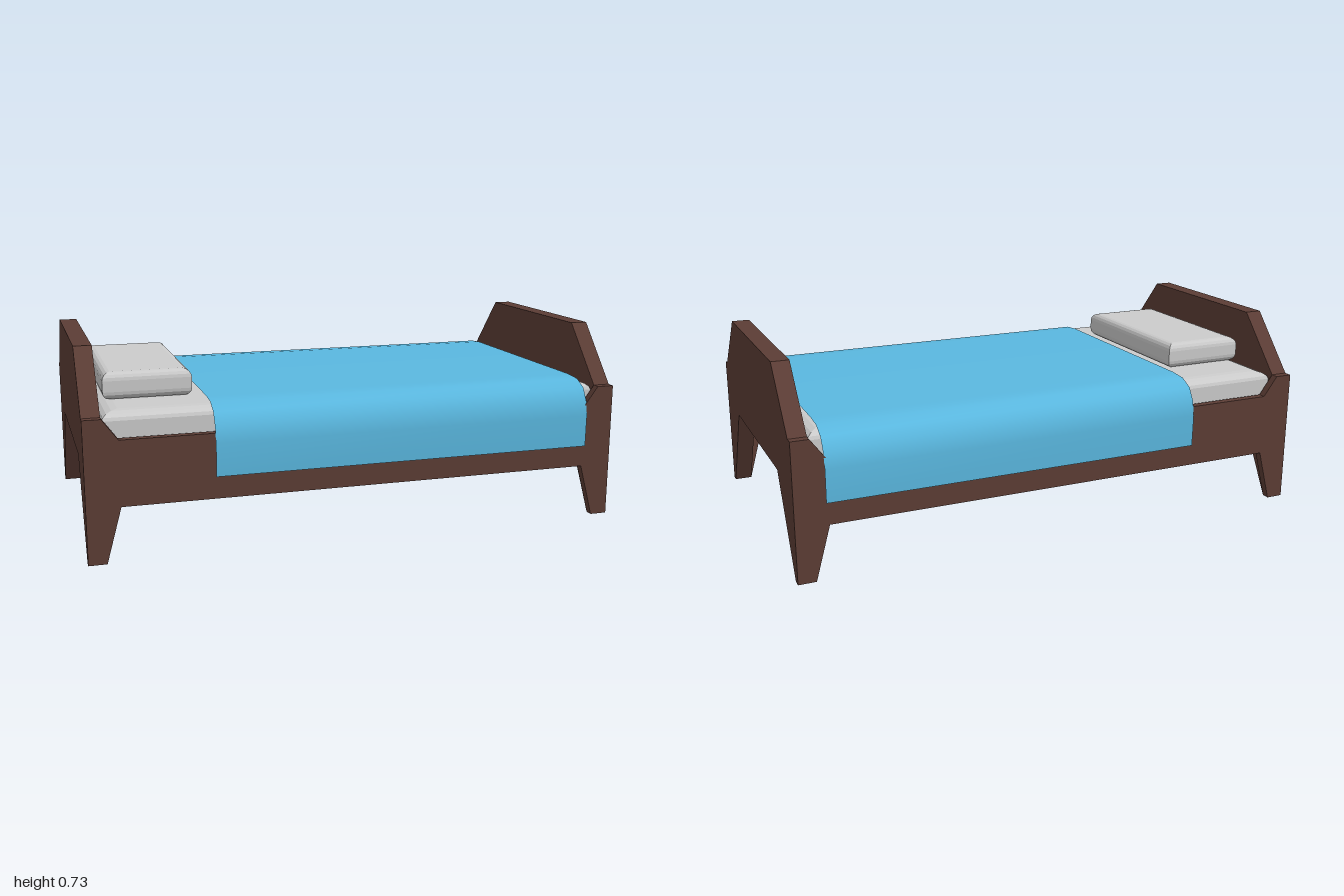
import * as THREE from 'three';

export function createModel() {
  const group = new THREE.Group();
  const wood = new THREE.MeshStandardMaterial({ color: 0x5c3d35 });
  const linen = new THREE.MeshStandardMaterial({ color: 0xcccccc });
  const cloth = new THREE.MeshStandardMaterial({ color: 0x5ab8e0, side: THREE.DoubleSide });

  const add = (name, geometry, material, x = 0, y = 0, z = 0) => {
    const mesh = new THREE.Mesh(geometry, material);
    mesh.name = name;
    mesh.position.set(x, y, z);
    group.add(mesh);
    return mesh;
  };

  const toShape = (points) => new THREE.Shape(points.map(([u, v]) => new THREE.Vector2(u, v)));

  // Panel cut from a half outline (bottom to top, right half) mirrored about its centre
  const panel = (half, depth) => {
    const outline = [...half, ...half.map(([u, v]) => [-u, v]).reverse()];
    return new THREE.ExtrudeGeometry(toShape(outline), { depth, bevelEnabled: false })
      .translate(0, 0, -depth / 2);
  };

  // Box with rounded top and bottom rims and square corners in plan, standing on y = 0
  const cushion = (width, height, depth, inset, rim) => {
    const u = width / 2 - inset, v = depth / 2 - inset;
    return new THREE.ExtrudeGeometry(toShape([[-u, -v], [u, -v], [u, v], [-u, v]]), {
      depth: height - 2 * rim, bevelSize: inset, bevelThickness: rim, bevelSegments: 4,
    }).translate(0, 0, rim).rotateX(-Math.PI / 2);
  };

  // Headboard and footboard with arched leg cut-out
  const endPanel = panel([[0.34, 0.34], [0.53, 0], [0.53, 0.51], [0.34, 0.725]], 0.065).rotateY(Math.PI / 2);
  add('headboard', endPanel, wood, -0.9675);
  add('footboard', endPanel, wood, 0.9675);

  // Side rails including the outer half of each corner leg
  const rail = panel([[0.88, 0.2], [0.935, 0], [1, 0], [1, 0.51], [0.935, 0.51], [0.88, 0.435]], 0.03);
  add('leftRail', rail, wood, 0, 0, 0.545);
  add('rightRail', rail, wood, 0, 0, -0.545);

  // Lengthwise slats under the mattress
  for (const z of [-0.452, -0.153, 0.153, 0.452]) {
    add('slat', new THREE.BoxGeometry(1.88, 0.03, 0.153), wood, 0, 0.355, z);
  }

  add('mattress', cushion(1.86, 0.151, 1.03, 0.06, 0.03), linen, 0, 0.37, 0);
  add('pillow', cushion(0.32, 0.1, 0.65, 0.03, 0.03), linen, -0.745, 0.521, 0);

  // Blanket: open draped sheet, swept along x from a mirrored cross-section (z, y)
  const drape = [[0.565, 0.28], [0.567, 0.4], [0.557, 0.455], [0.53, 0.503], [0.48, 0.529], [0.41, 0.535]];
  const section = [...drape, [0, 0.535], ...drape.map(([z, y]) => [-z, y]).reverse()];
  const blanket = new THREE.PlaneGeometry(1, 1, 1, section.length - 1);
  const p = blanket.attributes.position;
  // Rows run front to back with the foot end first, so the faces point outwards
  section.forEach(([z, y], i) => {
    p.setXYZ(i * 2, 0.89, y, z);
    p.setXYZ(i * 2 + 1, -0.55, y, z);
  });
  blanket.computeVertexNormals();
  add('blanket', blanket, cloth);

  return group;
}
